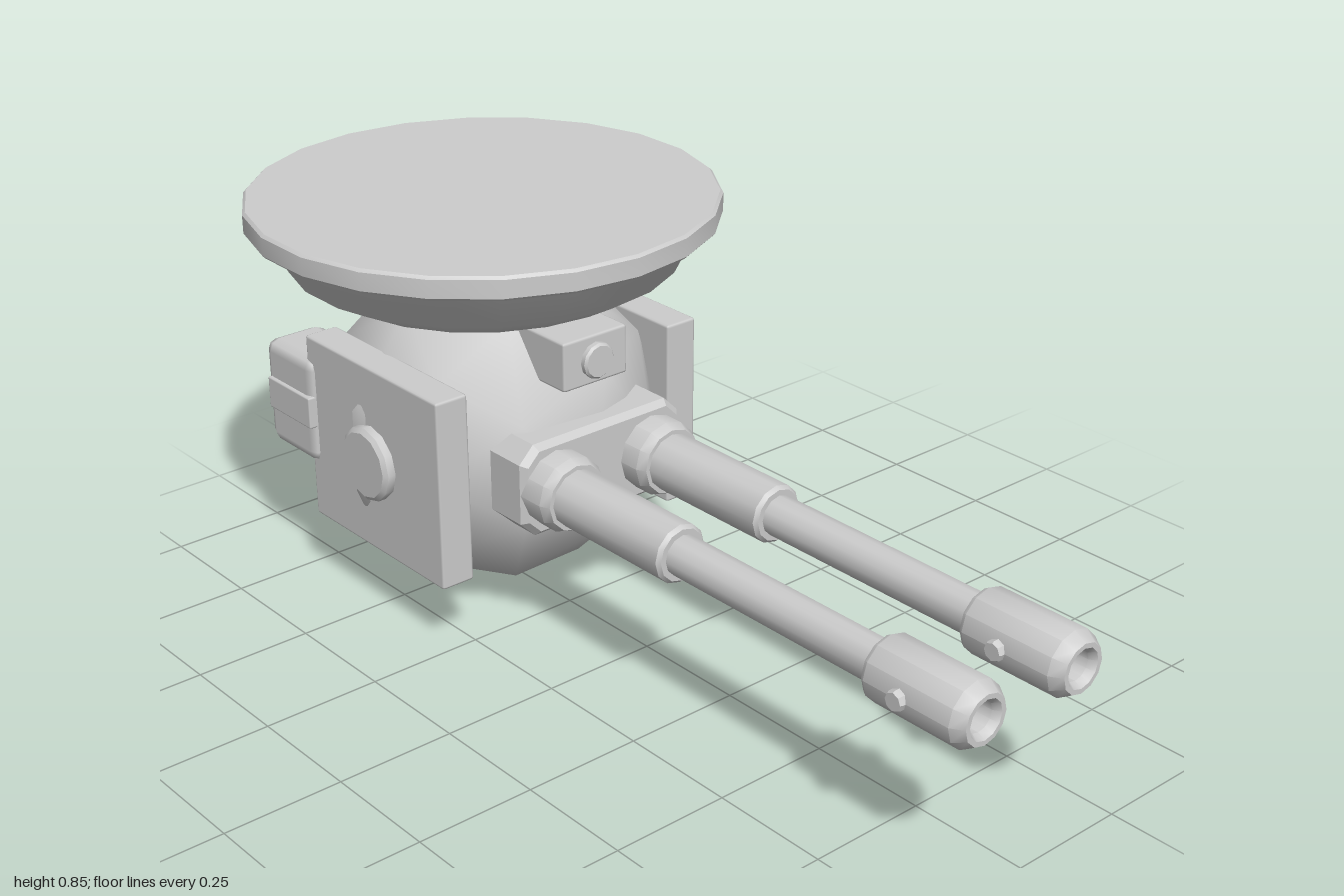
import * as THREE from 'three';
import { toCreasedNormals } from 'three/addons/utils/BufferGeometryUtils.js';
import { RoundedBoxGeometry } from 'three/addons/geometries/RoundedBoxGeometry.js';

const grey = new THREE.MeshStandardMaterial({ color: 0xcccccc });
grey.name = 'plain grey';

function add(parent, name, geometry, x = 0, y = 0, z = 0) {
  const mesh = new THREE.Mesh(geometry, grey);
  mesh.name = name;
  mesh.position.set(x, y, z);
  parent.add(mesh);
  return mesh;
}

// Turned part: profile as [radius, height], listed from bottom to top
function turned(profile, sides, crease = 0.6) {
  const points = profile.map(([r, h]) => new THREE.Vector2(r, h));
  return toCreasedNormals(new THREE.LatheGeometry(points, sides), crease);
}

// Box with small bevelled edges
const bevelBox = (w, h, d, bevel = 0.006) => new RoundedBoxGeometry(w, h, d, 1, bevel);

// Short stud pointing along +y, with a chamfered rim
const stud = (r, h, sides = 12) =>
  turned([[0, 0], [r, 0], [r, h * 0.75], [r * 0.88, h], [0, h]], sides);

function createBarrel() {
  const barrel = new THREE.Group();
  barrel.name = 'gunBarrel';
  // Collar, sleeve, tube and hollow muzzle in one profile along the barrel
  const profile = [
    [0, -0.2], [0.08, -0.2], [0.08, -0.085], [0.07, -0.065], [0.061, -0.065],
    [0.061, 0.238], [0.054, 0.246], [0.042, 0.246], [0.042, 0.77],
    [0.06, 0.77], [0.066, 0.78], [0.066, 0.975], [0.05, 1.0],
    [0.04, 1.0], [0.031, 0.985], [0.031, 0.93], [0, 0.93],
  ];
  add(barrel, 'barrelTube', turned(profile, 12).rotateX(Math.PI / 2));
  // Side studs on the muzzle
  for (const s of [-1, 1]) {
    const pin = add(barrel, 'muzzleStud', stud(0.02, 0.02, 8), s * 0.057, 0, 0.86);
    pin.rotation.z = -s * Math.PI / 2;
  }
  return barrel;
}

function createSide(s) {
  const side = new THREE.Group();
  side.name = s > 0 ? 'leftSide' : 'rightSide';
  add(side, 'sidePlate', bevelBox(0.076, 0.41, 0.455), s * 0.297, 0.36, -0.461);
  const hub = add(side, 'sideHub', stud(0.08, 0.03), s * 0.33, 0.358, -0.463);
  hub.rotation.z = -s * Math.PI / 2;
  // Rear pod with a raised bar
  add(side, 'rearPod', bevelBox(0.14, 0.235, 0.18, 0.025), s * 0.277, 0.398, -0.745);
  add(side, 'podBar', bevelBox(0.03, 0.07, 0.155, 0.004), s * 0.34, 0.4, -0.738);
  return side;
}

// Chamfered block that carries both barrels
function mountGeometry() {
  const w = 0.193, h = 0.088, c = 0.028, depth = 0.18;
  const outline = [
    [w, -h + c], [w, h - c], [w - c, h], [-w + c, h],
    [-w, h - c], [-w, -h + c], [-w + c, -h], [w - c, -h],
  ].map(([x, y]) => new THREE.Vector2(x, y));
  const geometry = new THREE.ExtrudeGeometry(new THREE.Shape(outline), {
    depth, bevelEnabled: true, bevelSize: 0.012, bevelThickness: 0.014, bevelSegments: 1,
  });
  return toCreasedNormals(geometry, 0.4);
}

export function createModel() {
  const model = new THREE.Group();
  model.name = 'ceilingTurret';

  // Faceted ball with a five-fold axis facing forward
  const ball = new THREE.IcosahedronGeometry(0.356, 1);
  ball.rotateY(-Math.atan2((1 + Math.sqrt(5)) / 2, 1));
  add(model, 'ballBody', ball, 0, 0.358, -0.5);

  // Ceiling mounting dish
  add(model, 'mountingDish', turned([
    [0, 0.675], [0.335, 0.675], [0.405, 0.714], [0.443, 0.79], [0.455, 0.8],
    [0.483, 0.8], [0.489, 0.806], [0.489, 0.844], [0.483, 0.85], [0, 0.85],
  ], 22, 0.65), 0, 0, -0.51);

  // Sensor box and lens above the guns
  add(model, 'sensorBox', bevelBox(0.162, 0.105, 0.15), 0, 0.592, -0.23);
  const lens = add(model, 'sensorLens', stud(0.038, 0.02), 0, 0.591, -0.16);
  lens.rotation.x = Math.PI / 2;

  add(model, 'gunMount', mountGeometry(), 0, 0.36, -0.325);

  for (const s of [-1, 1]) {
    const barrel = createBarrel();
    barrel.position.set(s * 0.124, 0.359, 0);
    model.add(barrel, createSide(s));
  }
  return model;
}
